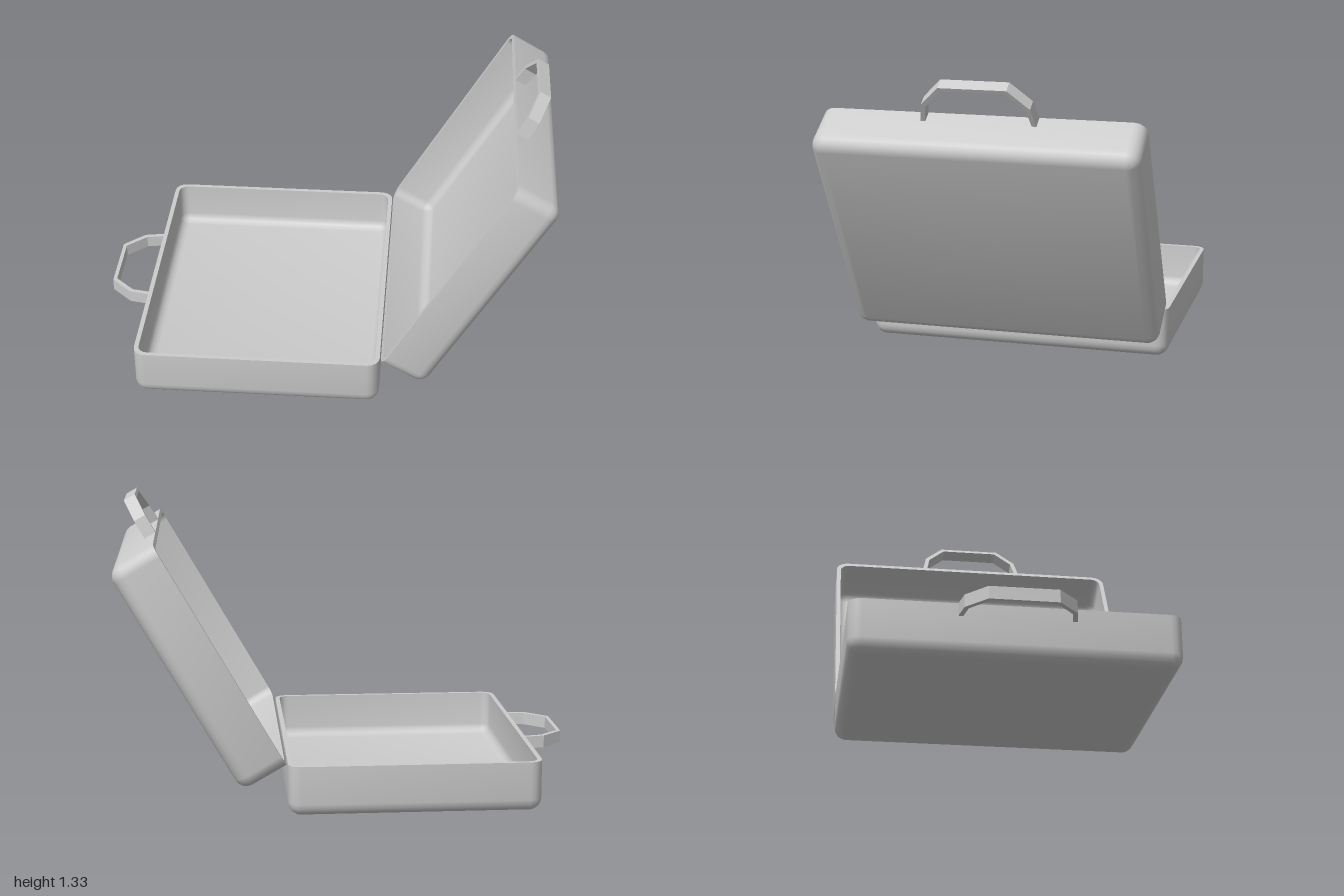
import * as THREE from 'three';
import { toCreasedNormals } from 'three/addons/utils/BufferGeometryUtils.js';

const LENGTH = 1.095, WIDTH = 1.37, HEIGHT = 0.222;
const WALL = 0.02, OUTER_R = 0.055, INNER_R = 0.042, STEPS = 4;

// Rounded-rectangle cross-section at height y, pulled in by inset
function ring(inset, radius, y) {
  const hx = LENGTH / 2 - inset - radius, hz = WIDTH / 2 - inset - radius;
  const points = [];
  [[1, 1], [-1, 1], [-1, -1], [1, -1]].forEach(([sx, sz], corner) => {
    for (let i = 0; i <= STEPS; i++) {
      const a = (corner + i / STEPS) * Math.PI / 2;
      points.push([sx * hx + radius * Math.cos(a), y, sz * hz + radius * Math.sin(a)]);
    }
  });
  return points;
}

// Open tray: outer fillet, outer wall, rim, inner wall, inner fillet, floor
function trayGeometry() {
  const rings = [];
  const centre = (y) => ring(0, 0, y).map(() => [0, y, 0]);
  rings.push(centre(0));
  for (let i = 0; i <= STEPS; i++) {
    const a = i / STEPS * Math.PI / 2;
    const r = OUTER_R * Math.sin(a);
    rings.push(ring(OUTER_R - r, r, OUTER_R * (1 - Math.cos(a))));
  }
  rings.push(ring(0, OUTER_R, HEIGHT), ring(WALL, INNER_R, HEIGHT));
  for (let i = STEPS; i >= 0; i--) {
    const a = i / STEPS * Math.PI / 2;
    const r = INNER_R * Math.sin(a);
    rings.push(ring(WALL + INNER_R - r, r, WALL + INNER_R * (1 - Math.cos(a))));
  }
  rings.push(centre(WALL));

  const n = rings[0].length, index = [];
  for (let i = 0; i < rings.length - 1; i++) {
    for (let j = 0; j < n; j++) {
      const a = i * n + j, b = i * n + (j + 1) % n;
      index.push(a, a + n, b + n, a, b + n, b);
    }
  }
  const geometry = new THREE.BufferGeometry();
  geometry.setAttribute('position', new THREE.Float32BufferAttribute(rings.flat(2), 3));
  geometry.setIndex(index);
  return toCreasedNormals(geometry, 0.7);
}

// Angular carrying handle: a flat faceted bow
function handleGeometry() {
  const outer = [[0.01, 0.245], [-0.087, 0.228], [-0.18, 0.143]];
  const inner = [[-0.163, 0.132], [-0.076, 0.21], [0.01, 0.225]];
  const flip = (pts) => pts.map(([x, z]) => [x, -z]).reverse();
  const outline = [...outer, ...flip(outer), ...flip(inner), ...inner];
  const shape = new THREE.Shape(outline.map(([x, z]) => new THREE.Vector2(x, z)));
  const geometry = new THREE.ExtrudeGeometry(shape, { depth: 0.055, bevelEnabled: false });
  return geometry.rotateX(Math.PI / 2);
}

// One half of the case, with the hinge edge of its rim at the origin
function caseHalf(name, material) {
  const half = new THREE.Group();
  half.name = name;
  const tray = new THREE.Mesh(trayGeometry(), material);
  tray.name = name + 'Shell';
  tray.position.set(-LENGTH / 2, -HEIGHT, 0);
  const handle = new THREE.Mesh(handleGeometry(), material);
  handle.name = name + 'Handle';
  handle.position.set(-LENGTH, 0, 0);
  half.add(tray, handle);
  return half;
}

export function createModel() {
  const model = new THREE.Group();
  model.name = 'openSuitcase';
  const material = new THREE.MeshStandardMaterial({ color: 0xcccccc });

  const base = caseHalf('base', material);
  base.position.set(0.275, HEIGHT, 0);

  // Lid: the same half turned around and tilted open at the hinge
  const lid = caseHalf('lid', material);
  lid.position.set(0.28, HEIGHT, 0);
  lid.rotation.set(0, Math.PI, Math.PI / 3, 'ZYX');

  model.add(base, lid);
  return model;
}
